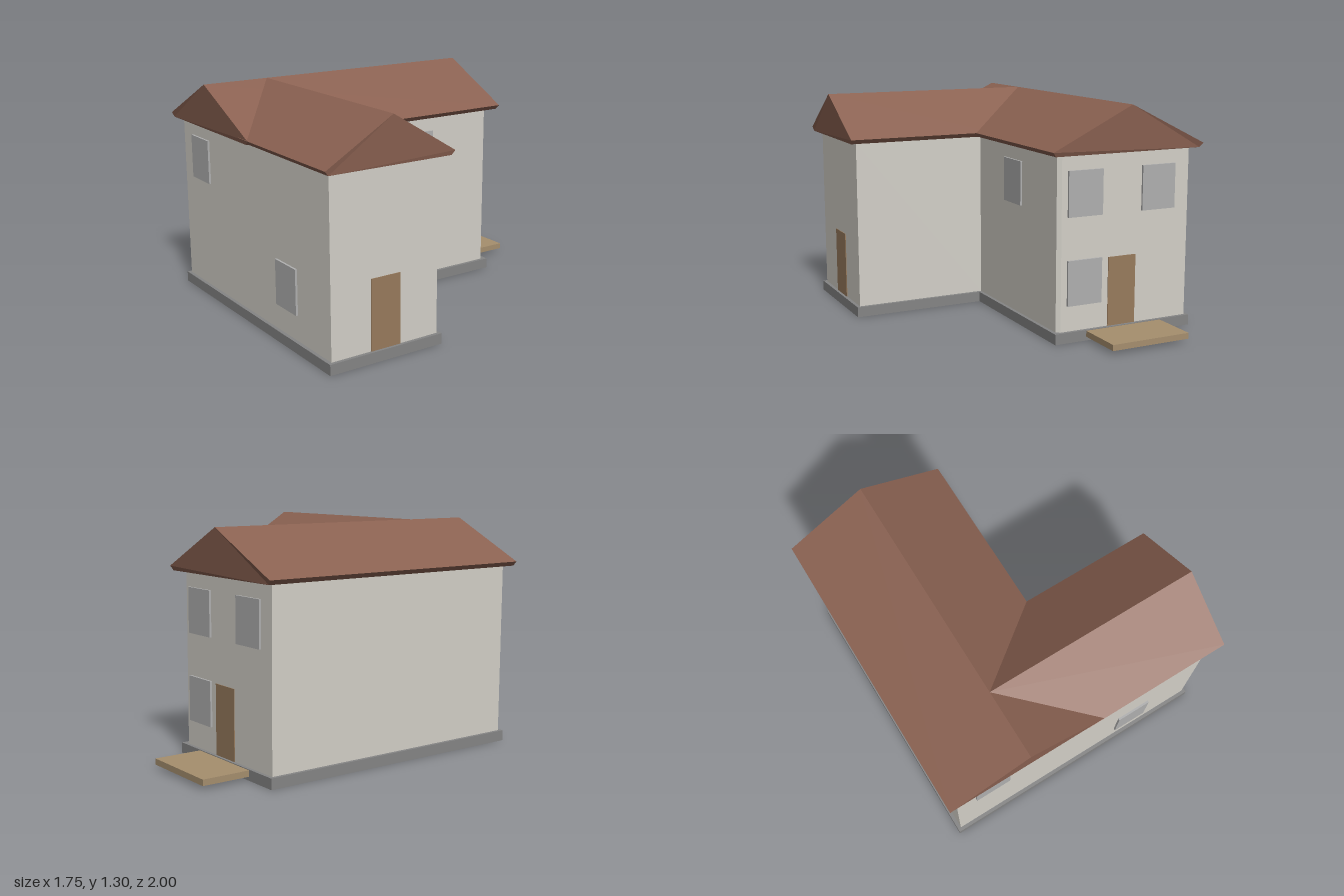
import * as THREE from 'three';

const mat = (color, side = THREE.FrontSide) =>
  new THREE.MeshStandardMaterial({ color, side, flatShading: true });
const mats = {
  wall: mat(0xd3d0c8), base: mat(0x858585), roof: mat(0x8a6151),
  door: mat(0x987b5d), deck: mat(0xa68f6e), glass: mat(0xb0b0b0),
};

function add(parent, name, geometry, material) {
  const mesh = new THREE.Mesh(geometry, material);
  mesh.name = name;
  parent.add(mesh);
  return mesh;
}

// Box given by its lower and upper corners
function addBox(parent, name, min, max, material) {
  const size = max.map((v, i) => v - min[i]);
  const mesh = add(parent, name, new THREE.BoxGeometry(...size), material);
  mesh.position.set(...max.map((v, i) => (v + min[i]) / 2));
  return mesh;
}

// Upright solid over a plan outline of [x, z] points
function plan(points, y0, y1) {
  const shape = new THREE.Shape(points.map(([x, z]) => new THREE.Vector2(x, -z)));
  return new THREE.ExtrudeGeometry(shape, { depth: y1 - y0, bevelEnabled: false })
    .rotateX(-Math.PI / 2).translate(0, y0, 0);
}

// Solid gable roof along z; back and front give z at [underside, eave, ridge]
function gableRoof(halfWidth, back, front) {
  const section = [[-halfWidth + 0.02, 1.04, 0], [-halfWidth, 1.065, 1], [0, 1.3, 2],
    [halfWidth, 1.065, 1], [halfWidth - 0.02, 1.04, 0]];
  const f = section.map(([x, y, k]) => [x, y, front[k]]);
  const b = section.map(([x, y, k]) => [x, y, back[k]]);
  const pos = [];
  for (let i = 0; i < 5; i++) {
    const j = (i + 1) % 5;
    pos.push(f[i], f[j], b[j], f[i], b[j], b[i]); // slopes, eaves, underside
    if (i > 0 && i < 4) pos.push(f[0], f[j], f[i], b[0], b[i], b[j]); // gable ends
  }
  const g = new THREE.BufferGeometry();
  g.setAttribute('position', new THREE.Float32BufferAttribute(pos.flat(), 3));
  g.computeVertexNormals();
  return g;
}

export function createModel() {
  const house = new THREE.Group();
  house.name = 'house';

  // L-shaped foundation and walls, with one small cut corner at the back
  add(house, 'foundation', plan([[-0.84, 0.96], [0.835, 0.96], [0.835, 0.26],
    [0.04, 0.26], [0.04, -0.72], [-0.84, -0.72]], 0, 0.06), mats.base);
  add(house, 'walls', plan([[-0.82, 0.94], [0.815, 0.94], [0.815, 0.28], [0.02, 0.28],
    [0.02, -0.685], [-0.003, -0.7], [-0.82, -0.7]], 0.06, 1.04), mats.wall);

  // Two crossing gable roofs
  add(house, 'mainRoof', gableRoof(0.48, [-0.745, -0.755, -0.763], [0.983, 0.988, 0.998]), mats.roof)
    .position.x = -0.4;
  const wingRoof = add(house, 'wingRoof',
    gableRoof(0.39, [-0.02, -0.02, -0.4], [0.86, 0.865, 0.873]), mats.roof);
  wingRoof.rotation.y = Math.PI / 2;
  wingRoof.position.z = 0.6;

  // Windows, slightly proud of the walls
  const upper = [0.7, 0.955], lower = [0.205, 0.46];
  for (const [x0, x1, [y0, y1]] of [[-0.7, -0.485, upper], [0.28, 0.49, lower]])
    addBox(house, 'frontWindow', [x0, y0, 0.92], [x1, y1, 0.952], mats.glass);
  for (const [x0, x1, [y0, y1]] of [[-0.255, -0.04, upper], [-0.255, -0.04, lower], [-0.725, -0.51, upper]])
    addBox(house, 'backWindow', [x0, y0, -0.712], [x1, y1, -0.68], mats.glass);
  addBox(house, 'sideWindow', [0, upper[0], -0.28], [0.032, upper[1], -0.07], mats.glass);

  // Doors and back step
  addBox(house, 'sideDoor', [0.8, 0.06, 0.52], [0.819, 0.455, 0.7], mats.door);
  addBox(house, 'backDoor', [-0.477, 0.06, -0.704], [-0.3, 0.455, -0.68], mats.door);
  addBox(house, 'backStep', [-0.64, 0.022, -1], [-0.155, 0.056, -0.7], mats.deck);

  return house;
}
